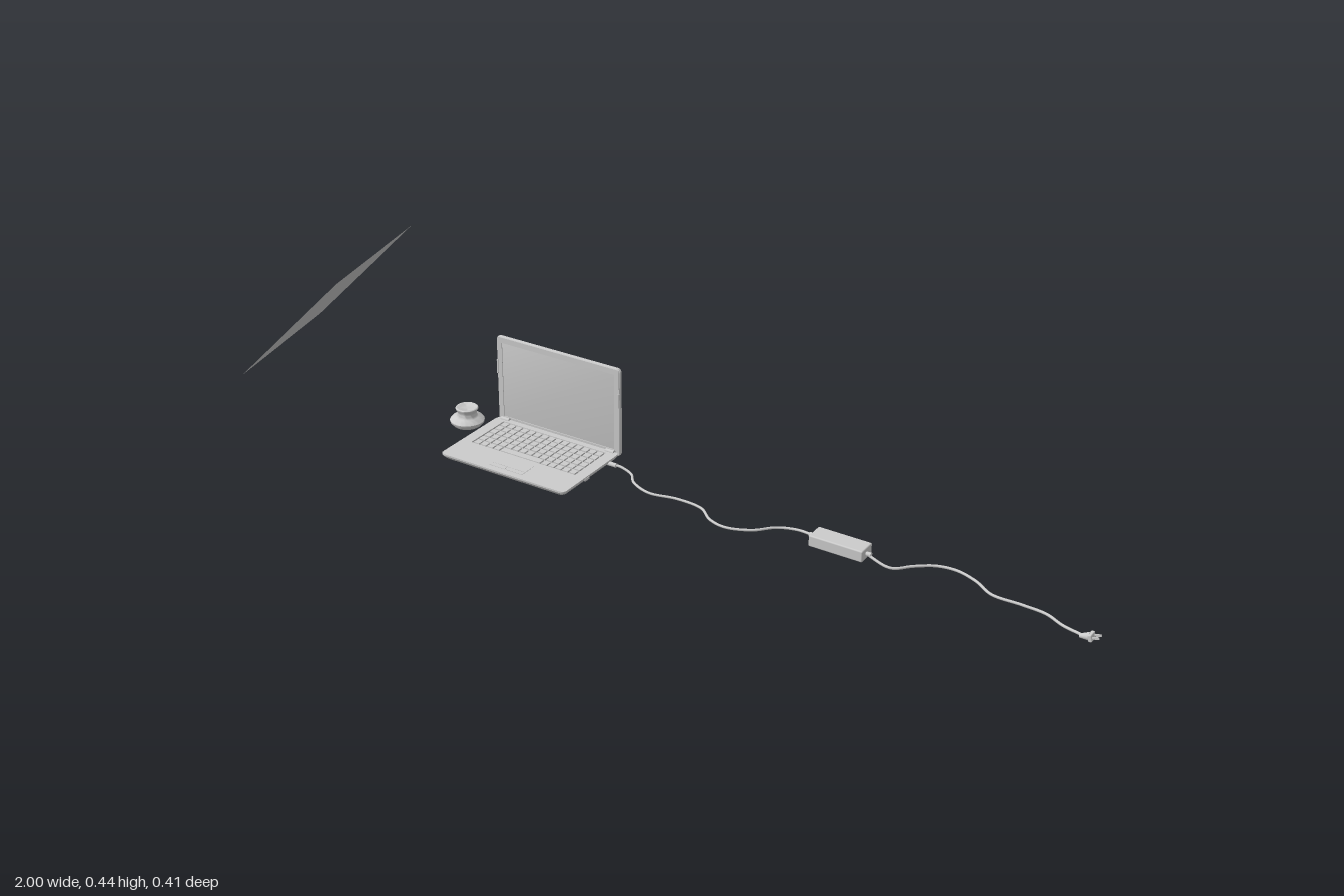
import * as THREE from 'three';
import { toCreasedNormals } from 'three/addons/utils/BufferGeometryUtils.js';
import { RoundedBoxGeometry } from 'three/addons/geometries/RoundedBoxGeometry.js';

const grey = new THREE.MeshStandardMaterial({ color: 0xcccccc });
const greyThin = new THREE.MeshStandardMaterial({ color: 0xcccccc, side: THREE.DoubleSide });

function add(parent, name, geometry, x = 0, y = 0, z = 0, material = grey) {
  const mesh = new THREE.Mesh(geometry, material);
  mesh.name = name;
  mesh.position.set(x, y, z);
  parent.add(mesh);
  return mesh;
}

const box = (w, h, d) => new THREE.BoxGeometry(w, h, d);

// Rounded rectangle centred on the origin
function roundedRect(w, h, r, Type = THREE.Shape) {
  const s = new Type(), a = w / 2, b = h / 2;
  s.moveTo(-a + r, -b);
  s.lineTo(a - r, -b);
  s.quadraticCurveTo(a, -b, a, -b + r);
  s.lineTo(a, b - r);
  s.quadraticCurveTo(a, b, a - r, b);
  s.lineTo(-a + r, b);
  s.quadraticCurveTo(-a, b, -a, b - r);
  s.lineTo(-a, -b + r);
  s.quadraticCurveTo(-a, -b, -a + r, -b);
  return s;
}

// Tapered tray: rounded-rectangle sections [y, inset], bottom to top, capped at both ends
function trayGeometry(w, d, r, sections) {
  const pos = [], index = [];
  let n = 0;
  sections.forEach(([y, inset]) => {
    const ring = roundedRect(w - 2 * inset, d - 2 * inset, r).getPoints(4).slice(0, -1);
    n = ring.length;
    ring.forEach((p) => pos.push(p.x, y, -p.y));
  });
  const last = sections.length - 1;
  for (let j = 0; j < last; j++) {
    for (let i = 0; i < n; i++) {
      const a = j * n + i, b = j * n + (i + 1) % n;
      index.push(a, b, b + n, a, b + n, a + n);
    }
  }
  pos.push(0, sections[0][0], 0, 0, sections[last][0], 0);
  const low = (last + 1) * n;
  for (let i = 0; i < n; i++) {
    const k = (i + 1) % n;
    index.push(low, k, i, low + 1, last * n + i, last * n + k);
  }
  const g = new THREE.BufferGeometry();
  g.setAttribute('position', new THREE.Float32BufferAttribute(pos, 3));
  g.setIndex(index);
  return toCreasedNormals(g, 0.6);
}

function createLaptop() {
  const laptop = new THREE.Group();
  laptop.name = 'laptop';
  laptop.position.set(-0.341, 0, -0.083);
  const W = 0.336, D = 0.216;

  // Base with curved underside, and a deck cut out for the keyboard
  add(laptop, 'base', trayGeometry(W, D, 0.012,
    [[0.002, 0.026], [0.004, 0.017], [0.008, 0.009], [0.013, 0.003], [0.018, 0]]));
  const deckShape = roundedRect(W, D, 0.012);
  const hole = new THREE.Path();
  hole.moveTo(-0.142, -0.028);
  hole.lineTo(-0.142, 0.094);
  hole.lineTo(0.142, 0.094);
  hole.lineTo(0.142, -0.028);
  hole.closePath();
  deckShape.holes.push(hole);
  const deck = new THREE.ExtrudeGeometry(deckShape, { depth: 0.004, bevelEnabled: false, curveSegments: 4 });
  add(laptop, 'deck', deck.rotateX(-Math.PI / 2), 0, 0.018, 0);

  // Keyboard: five rows of keys and a bottom row with the space bar
  const keyboard = new THREE.Group();
  keyboard.name = 'keyboard';
  laptop.add(keyboard);
  const pitch = 0.28 / 15, rowPitch = 0.12 / 6;
  for (let row = 0; row < 6; row++) {
    const z = -0.093 + (row + 0.5) * rowPitch;
    for (let c = 0; c < 15; c++) {
      if (row === 5 && c >= 4 && c <= 9) continue;
      add(keyboard, 'key', box(pitch * 0.8, 0.004, rowPitch * 0.8), (c - 7) * pitch, 0.02, z);
    }
  }
  add(keyboard, 'spaceBar', box(pitch * 5.8, 0.004, rowPitch * 0.8), -0.5 * pitch, 0.02, 0.017);

  // Trackpad, its buttons and the front latch notch
  add(laptop, 'trackpad', box(0.09, 0.001, 0.034), 0, 0.0222, 0.062);
  for (const s of [-1, 1]) {
    add(laptop, 'trackpadButton', box(0.043, 0.0014, 0.01), s * 0.0235, 0.0222, 0.087);
    add(laptop, 'sidePort', box(0.002, 0.006, 0.016), s * W / 2, 0.016, 0.02);
    const hinge = add(laptop, 'hinge', new THREE.CylinderGeometry(0.005, 0.005, 0.022, 16), s * 0.145, 0.022, -0.105);
    hinge.rotation.z = Math.PI / 2;
    for (const z of [-0.07, 0.07]) {
      add(laptop, 'foot', new THREE.CylinderGeometry(0.007, 0.006, 0.003, 16), s * 0.12, 0.0015, z);
    }
  }

  // Upright lid with a raised bezel around the display
  const lid = new THREE.Group();
  lid.name = 'lid';
  lid.position.set(0, 0.119, -0.115);
  laptop.add(lid);
  const shell = new THREE.ExtrudeGeometry(roundedRect(W - 0.004, 0.212, 0.008), {
    depth: 0.004, bevelThickness: 0.002, bevelSize: 0.002, bevelSegments: 3, curveSegments: 4,
  });
  add(lid, 'lidShell', toCreasedNormals(shell, 0.6), 0, 0, -0.003);
  const bezelShape = roundedRect(W - 0.004, 0.212, 0.008);
  bezelShape.holes.push(roundedRect(W - 0.03, 0.186, 0.001, THREE.Path));
  add(lid, 'bezel', new THREE.ExtrudeGeometry(bezelShape, { depth: 0.002, bevelEnabled: false, curveSegments: 4 }), 0, 0, 0.003);
  for (const s of [-1, 1]) add(lid, 'edgeTab', box(0.003, 0.034, 0.004), s * 0.1655, 0.032, 0.005);
  return laptop;
}

// Low round pot with a flared neck and a dished top
function createPot() {
  const profile = [[0, 0.003], [0.02, 0.004], [0.032, 0.009], [0.039, 0.017], [0.04, 0.022], [0.036, 0.027],
    [0.026, 0.03], [0.023, 0.034], [0.022, 0.04], [0.0235, 0.045], [0.026, 0.049], [0.026, 0.052],
    [0.024, 0.0535], [0.019, 0.053], [0.016, 0.051], [0, 0.051]].map(([r, y]) => new THREE.Vector2(r, y));
  const pot = new THREE.Group();
  pot.name = 'roundPot';
  pot.position.set(-0.5615, 0, -0.142);
  add(pot, 'potBody', toCreasedNormals(new THREE.LatheGeometry(profile, 40), 0.7));
  return pot;
}

// Cable through [x, y, z] points
function cable(parent, name, points) {
  const curve = new THREE.CatmullRomCurve3(points.map((p) => new THREE.Vector3(...p)));
  add(parent, name, new THREE.TubeGeometry(curve, 120, 0.003, 8));
}

function createCharger() {
  const charger = new THREE.Group();
  charger.name = 'charger';
  const f = 0.006;
  cable(charger, 'laptopCable', [[-0.172, 0.014, -0.152], [-0.145, 0.013, -0.154], [-0.115, f, -0.15],
    [-0.088, f, -0.12], [-0.035, f, -0.099], [0.03, f, -0.11], [0.094, f, -0.104], [0.136, f, -0.072],
    [0.179, f, -0.062], [0.233, f, -0.083], [0.27, f, -0.12], [0.313, 0.009, -0.131], [0.365, 0.018, -0.115]]);
  cable(charger, 'mainsCable', [[0.482, 0.018, -0.11], [0.543, f, -0.104], [0.58, f, -0.136], [0.618, f, -0.162],
    [0.66, f, -0.168], [0.709, f, -0.152], [0.757, f, -0.122], [0.821, f, -0.12], [0.874, f, -0.115],
    [0.917, f, -0.094], [0.965, 0.009, -0.078]]);
  add(charger, 'powerBrick', new RoundedBoxGeometry(0.124, 0.026, 0.045, 3, 0.003), 0.423, 0.018, -0.113);

  // Barrel connector and strain reliefs
  for (const [x, y, z, r, l] of [[-0.166, 0.014, -0.152, 0.005, 0.022], [0.357, 0.018, -0.116, 0.005, 0.014], [0.489, 0.018, -0.11, 0.005, 0.014]]) {
    add(charger, 'connector', new THREE.CylinderGeometry(r, r, l, 16), x, y, z).rotation.z = Math.PI / 2;
  }

  // Mains plug, tilted up a little
  const plug = new THREE.Group();
  plug.name = 'plug';
  plug.position.set(0.972, 0.011, -0.077);
  plug.rotation.z = 0.25;
  charger.add(plug);
  const grip = new THREE.CylinderGeometry(0.009, 0.004, 0.022, 16).rotateZ(-Math.PI / 2);
  add(plug, 'plugGrip', grip, -0.004, 0, 0);
  add(plug, 'plugFace', new RoundedBoxGeometry(0.008, 0.015, 0.022, 2, 0.002), 0.009, 0, 0);
  for (const s of [-1, 1]) add(plug, 'prong', box(0.014, 0.005, 0.002), 0.02, 0, s * 0.006);
  return charger;
}

// Flat square sheet, hanging tilted beside the laptop
function createSheet(parent) {
  const u = new THREE.Vector3(0.249, 0.257, -0.058).normalize();
  const v = new THREE.Vector3(0.082, 0, 0.355).normalize();
  const n = new THREE.Vector3().crossVectors(u, v).normalize();
  v.crossVectors(n, u);
  const sheet = add(parent, 'sheet', new THREE.PlaneGeometry(0.363, 0.364), -0.8345, 0.3085, 0, greyThin);
  sheet.quaternion.setFromRotationMatrix(new THREE.Matrix4().makeBasis(u, v, n));
}

export function createModel() {
  const model = new THREE.Group();
  model.name = 'laptopDeskSet';
  model.add(createLaptop(), createPot(), createCharger());
  createSheet(model);
  return model;
}
